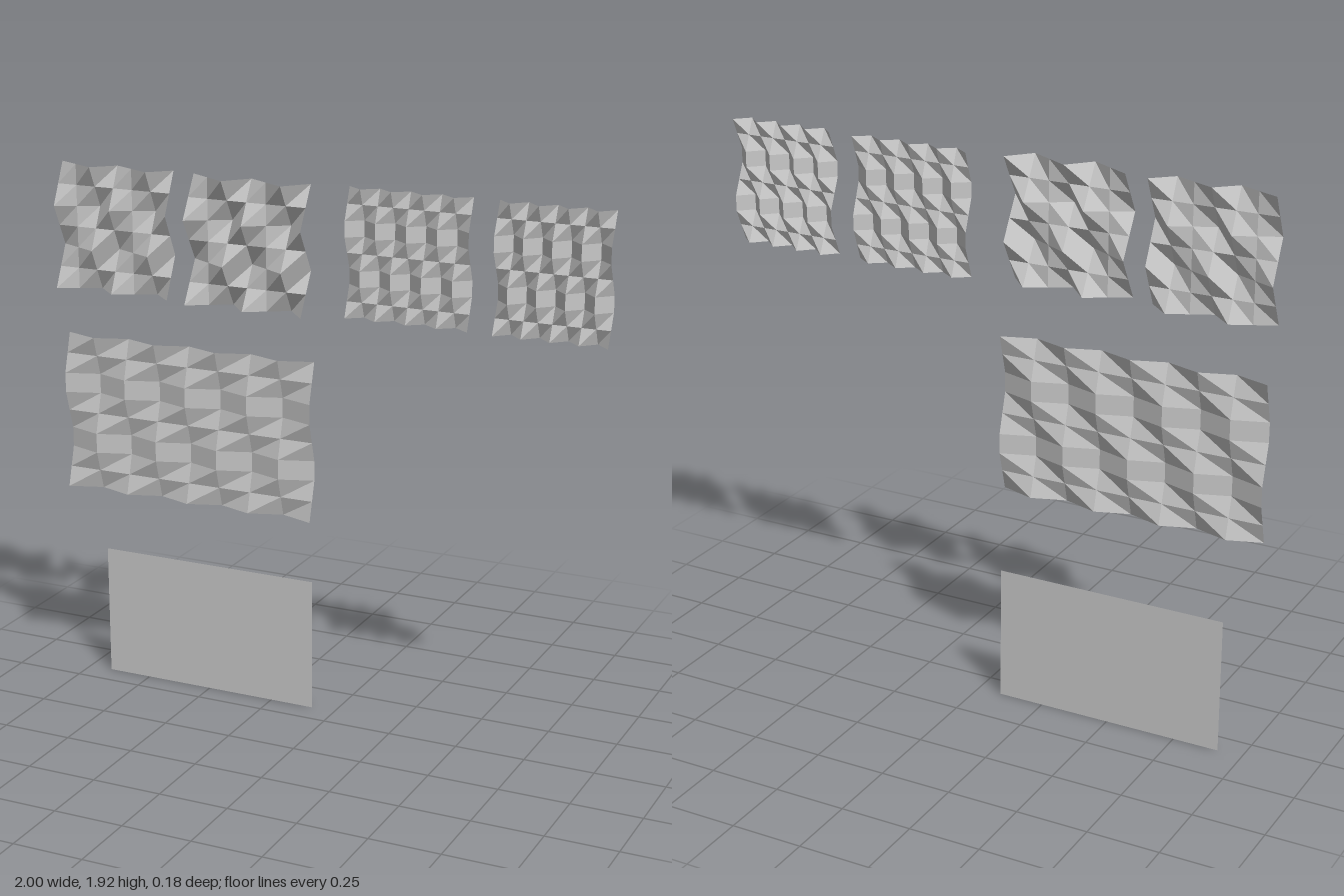
import * as THREE from 'three';

// Fold profiles: signed heights that repeat along a row or a column of nodes.
const ZIGZAG = [-1, 1];                  // ridge, valley
const LONG_WAVE = [1, 0, -1, -1, 0, 1];  // straight stretches joined by sign flips
const SAWTOOTH = [-1, 0, 1];             // long slope, then a steep return
const WAVE = [1, 0, -1, 0];              // even slopes

// Creased sheet: each grid node is lifted by column profile times row profile.
function foldedPanel(name, material, p) {
  const geo = new THREE.PlaneGeometry(p.x1 - p.x0, p.y1 - p.y0, p.cols, p.rows);
  const pos = geo.attributes.position;
  for (let j = 0; j <= p.rows; j++) {
    for (let i = 0; i <= p.cols; i++) {
      const lift = p.across[i % p.across.length] * p.down[j % p.down.length];
      pos.setZ(j * (p.cols + 1) + i, p.depth * lift);
    }
  }
  const flat = geo.toNonIndexed();
  flat.computeVertexNormals();
  const mesh = new THREE.Mesh(flat, material);
  mesh.name = name;
  mesh.position.set((p.x0 + p.x1) / 2, (p.y0 + p.y1) / 2, p.z);
  return mesh;
}

export function createModel() {
  const group = new THREE.Group();
  group.name = 'foldedSheets';
  const paper = new THREE.MeshStandardMaterial({
    color: 0xc8c8c8, flatShading: true, side: THREE.DoubleSide,
  });
  paper.name = 'grey paper';

  // Unfolded sheet at the bottom, set behind the others
  const sheet = new THREE.Mesh(new THREE.PlaneGeometry(0.825, 0.48), paper);
  sheet.name = 'flatSheet';
  sheet.position.set(-0.5, 0.24, -0.088);
  group.add(sheet);

  // Finely pleated panels share one fold pattern, coarse panels another
  const fine = { cols: 8, rows: 8, across: ZIGZAG, down: LONG_WAVE };
  const coarse = { cols: 6, rows: 6, across: SAWTOOTH, down: WAVE };
  const top = { y0: 1.48, y1: 1.917 };

  group.add(
    foldedPanel('largeFoldedPanel', paper,
      { ...fine, x0: -1, x1: -0.045, y0: 0.742, y1: 1.305, z: 0, depth: 0.02 }),
    foldedPanel('coarseShallowPanel', paper,
      { ...coarse, ...top, x0: -1, x1: -0.565, z: 0.022, depth: 0.034 }),
    foldedPanel('coarseDeepPanel', paper,
      { ...coarse, ...top, x0: -0.48, x1: -0.045, z: 0.046, depth: 0.042 }),
    foldedPanel('fineShallowPanel', paper,
      { ...fine, ...top, x0: 0.085, x1: 0.52, z: 0.003, depth: 0.02 }),
    foldedPanel('fineDeepPanel', paper,
      { ...fine, ...top, x0: 0.61, x1: 1, z: 0.01, depth: 0.024 }),
  );
  return group;
}
